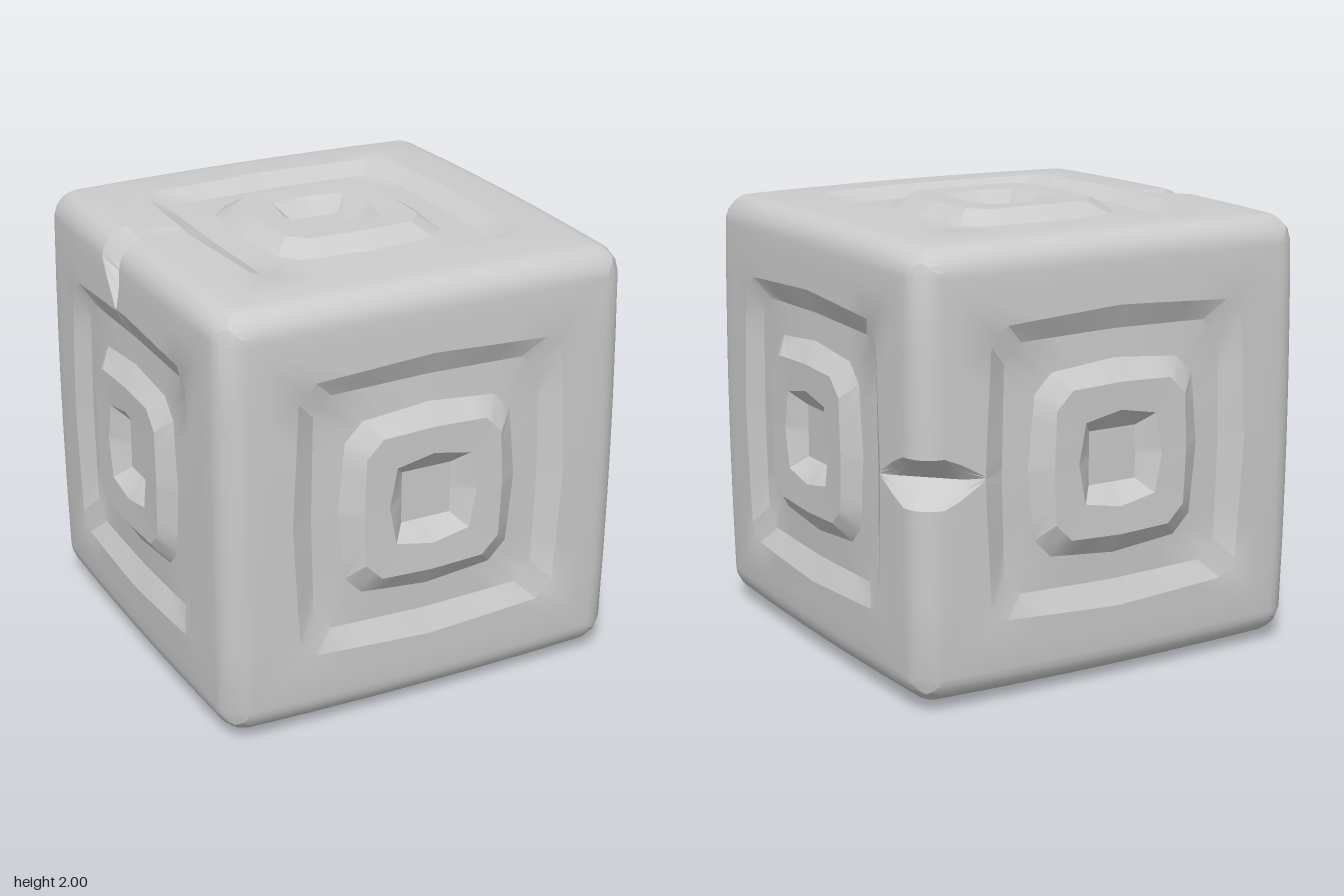
import * as THREE from 'three';
import { toCreasedNormals } from 'three/addons/utils/BufferGeometryUtils.js';

const CORE = 0.86, RADIUS = 0.122;   // rounded edges start at CORE

// Carved rings of one face, from the centre out:
// half width, half length of the straight side, bulge at mid side, height
const RINGS = [
  [0.12, 0.12, 0.0, 0.925],   // pit floor
  [0.18, 0.18, 0.035, 0.995], // pit rim
  [0.33, 0.25, 0.01, 1.0],    // raised frame
  [0.405, 0.32, 0.03, 0.94],  // groove floor, inner edge
  [0.55, 0.465, 0.01, 0.935], // groove floor, outer edge
  [0.64, 0.56, 0.03, 0.985],  // groove rim
  [0.78, 0.72, 0.0, 0.983],   // flat border
];
const ARC = [0, 15, 30, 45].map((d) => THREE.MathUtils.degToRad(d));

// Positions along each side; null is the corner
const half = [0.06, 0.11, 0.16, 0.26, 0.56, CORE];
const STEPS = [null, ...half.map((t) => -t).reverse(), 0, ...half];

// Nicks across two edges: edge direction, axis along it, mouth and depth
const NICKS = [
  { edge: new THREE.Vector3(1, 0, -1), axis: 'y', at: 0, half: 0.11, limit: 1.69 },
  { edge: new THREE.Vector3(-1, 1, 0), axis: 'z', at: -0.16, half: 0.1, limit: 1.68 },
];

// Offset (out, along, height) of a point of ring i at step t
function ringPoint(i, t) {
  if (i < RINGS.length) {
    const [h, c, b, y] = RINGS[i];
    if (t === null) return [(h + c) / 2, -(h + c) / 2, y];
    return [h + b * (1 - Math.abs(t) / CORE), (t * c) / CORE, y];
  }
  const a = ARC[i - RINGS.length];
  if (t !== null) return [CORE + RADIUS * Math.sin(a), t, CORE + RADIUS * Math.cos(a)];
  const k = Math.tan(a), len = Math.hypot(k, k, 1);
  const out = CORE + (RADIUS * k) / len;
  return [out, -out, CORE + RADIUS / len];
}

// Push a point into a nick as a V whose valley cuts the edge diagonally
function cutNick(p, normal, out, along, i, t) {
  const sum = normal.clone().add(out);
  for (const n of NICKS) {
    if (t === null || i < 5 || sum.distanceTo(n.edge) > 0.01) continue;
    const off = t * along[n.axis] - n.at;
    if (Math.abs(off) > n.half + 0.001) continue;
    const depth = Math.max(0, (p.dot(n.edge) - n.limit) / 2);
    p.addScaledVector(n.edge, -depth * Math.max(0, 1 - Math.abs(off) / n.half));
    // narrow the mouth towards its tip
    if (i === 5) p[n.axis] -= off * 0.55;
    if (i === 6) p[n.axis] -= off * 0.15;
  }
}

// Swell the cube slightly towards the middle of each face
function swell({ x, y, z }) {
  const f = (a, b, c) => a * (1 - 0.012 * (b * b + c * c));
  return new THREE.Vector3(f(x, y, z), f(y, x, z), f(z, x, y));
}

// One carved face with its share of the rounded edges
function faceGeometry(normal, u) {
  const v = normal.clone().cross(u);
  const sides = [u, v, u.clone().negate(), v.clone().negate()];
  const count = RINGS.length + ARC.length, per = 4 * STEPS.length;
  const pos = [], index = [];
  for (let i = 0; i < count; i++) {
    sides.forEach((out, s) => {
      const along = sides[(s + 1) % 4];
      for (const t of STEPS) {
        const [o, a, h] = ringPoint(i, t);
        const p = new THREE.Vector3()
          .addScaledVector(out, o).addScaledVector(along, a).addScaledVector(normal, h);
        cutNick(p, normal, out, along, i, t);
        const q = swell(p);
        pos.push(q.x, q.y + 1, q.z);
      }
    });
  }
  // pit floor
  const centre = pos.length / 3;
  const c = normal.clone().multiplyScalar(RINGS[0][3]);
  pos.push(c.x, c.y + 1, c.z);
  for (let j = 0; j < per; j++) {
    const k = (j + 1) % per;
    index.push(centre, j, k);
    for (let i = 0; i < count - 1; i++) {
      const a = i * per + j, b = a + per, d = i * per + k, e = d + per;
      index.push(a, b, e, a, e, d);
    }
  }
  return { pos, index };
}

export function createModel() {
  const group = new THREE.Group();
  group.name = 'carvedCube';
  const X = new THREE.Vector3(1, 0, 0), Y = new THREE.Vector3(0, 1, 0), Z = new THREE.Vector3(0, 0, 1);
  const pos = [], index = [];
  for (const [n, u] of [[X, Y], [Y, Z], [Z, X]]) {
    for (const sign of [1, -1]) {
      const face = faceGeometry(n.clone().multiplyScalar(sign), u);
      const base = pos.length / 3;
      pos.push(...face.pos);
      index.push(...face.index.map((k) => k + base));
    }
  }
  const geometry = new THREE.BufferGeometry();
  geometry.setAttribute('position', new THREE.Float32BufferAttribute(pos, 3));
  geometry.setIndex(index);
  const mesh = new THREE.Mesh(
    toCreasedNormals(geometry, 0.42),
    new THREE.MeshStandardMaterial({ color: 0xcccccc }),
  );
  mesh.name = 'cubeBody';
  group.add(mesh);
  return group;
}
